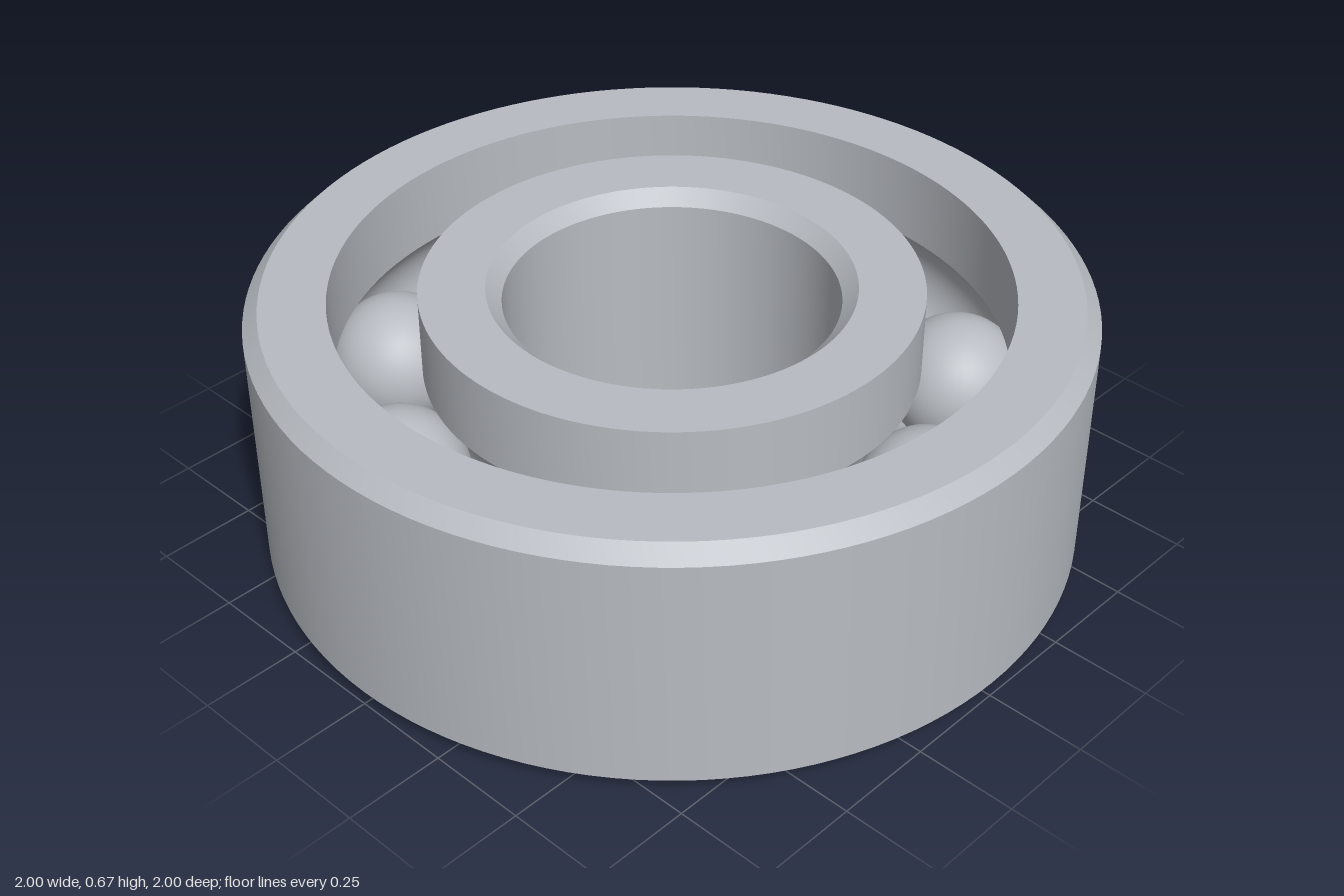
import * as THREE from 'three';
import { toCreasedNormals } from 'three/addons/utils/BufferGeometryUtils.js';

const HEIGHT = 0.668, MID = HEIGHT / 2, CHAMFER = 0.037;
const BORE = 0.4, INNER_EDGE = 0.595, OUTER_EDGE = 0.805, RIM = 1;
const PITCH = 0.7, BALL = 0.167, BALL_COUNT = 9;

// Points of the circular ball groove, cut into a race wall at the given radius
function groove(wall) {
  const half = Math.acos((wall - PITCH) / BALL);
  const steps = 16, points = [];
  const outer = wall > PITCH;
  for (let i = 0; i <= steps; i++) {
    const t = i / steps;
    const a = outer
      ? half * (1 - 2 * t)                     // downwards along the outer race
      : half + (2 * Math.PI - 2 * half) * (1 - t); // upwards along the inner race
    points.push([PITCH + BALL * Math.cos(a), MID + BALL * Math.sin(a)]);
  }
  return points;
}

function ring(name, profile, material) {
  const points = [...profile, profile[0]].map(([r, y]) => new THREE.Vector2(r, y));
  const mesh = new THREE.Mesh(toCreasedNormals(new THREE.LatheGeometry(points, 128), 0.5), material);
  mesh.name = name;
  return mesh;
}

export function createModel() {
  const model = new THREE.Group();
  model.name = 'ballBearing';
  const steel = new THREE.MeshStandardMaterial({ color: 0xb8bcc2 });
  steel.name = 'steel';

  // Outer ring: chamfered rim, grooved inside
  model.add(ring('outerRing', [
    [RIM - CHAMFER, 0], [RIM, CHAMFER], [RIM, HEIGHT - CHAMFER], [RIM - CHAMFER, HEIGHT],
    [OUTER_EDGE, HEIGHT], ...groove(OUTER_EDGE), [OUTER_EDGE, 0],
  ], steel));

  // Inner ring: chamfered bore, grooved outside
  model.add(ring('innerRing', [
    [INNER_EDGE, 0], ...groove(INNER_EDGE), [INNER_EDGE, HEIGHT],
    [BORE + CHAMFER, HEIGHT], [BORE, HEIGHT - CHAMFER], [BORE, CHAMFER], [BORE + CHAMFER, 0],
  ], steel));

  // Balls evenly spaced around the race
  const balls = new THREE.Group();
  balls.name = 'balls';
  const ballGeometry = new THREE.SphereGeometry(BALL, 40, 24);
  for (let i = 0; i < BALL_COUNT; i++) {
    const a = (i / BALL_COUNT) * Math.PI * 2;
    const ball = new THREE.Mesh(ballGeometry, steel);
    ball.name = `ball${i + 1}`;
    ball.position.set(PITCH * Math.cos(a), MID, PITCH * Math.sin(a));
    balls.add(ball);
  }
  model.add(balls);
  return model;
}
